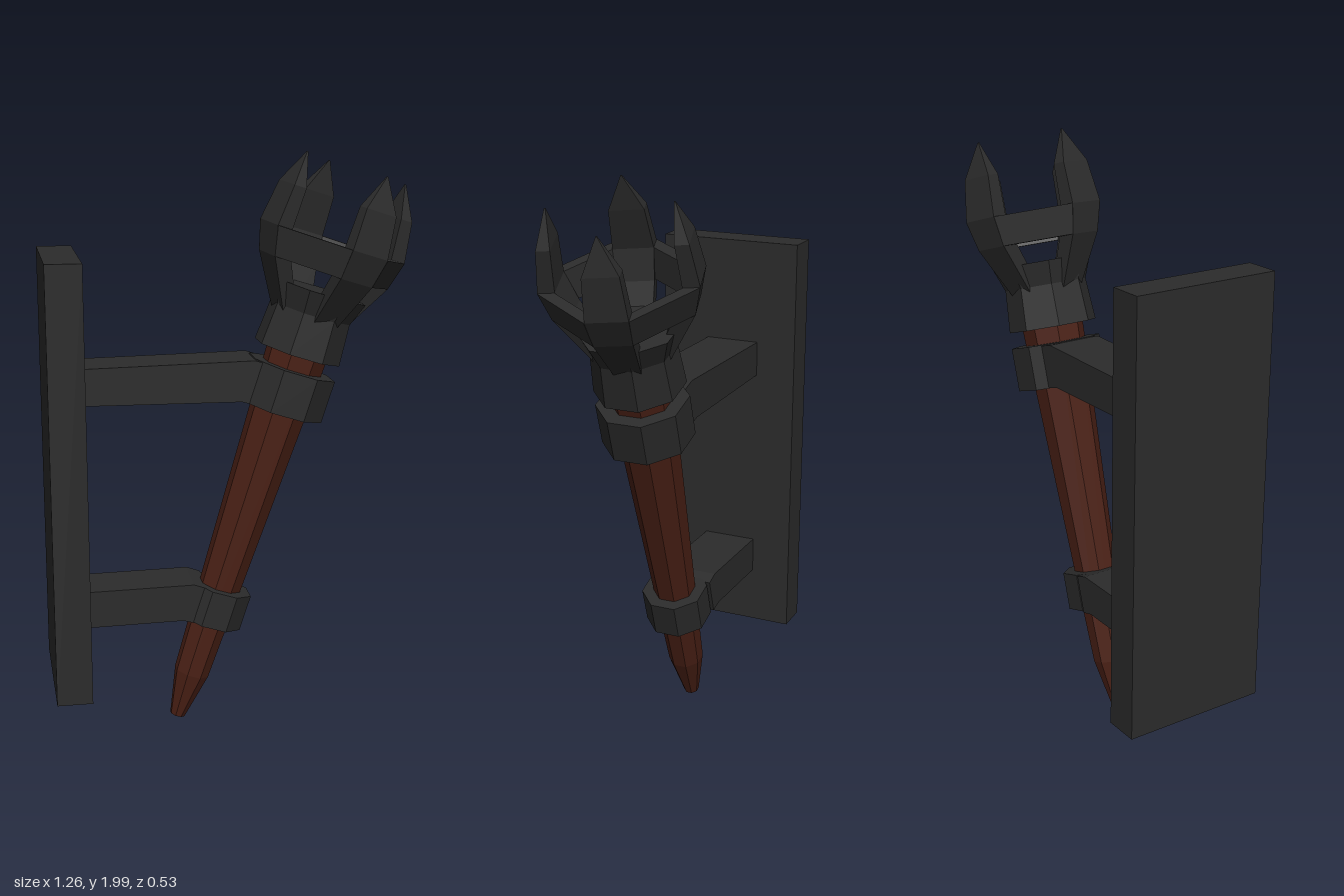
import * as THREE from 'three';

const metal = new THREE.MeshStandardMaterial({ color: 0x2b2b2b, flatShading: true });
const wood = new THREE.MeshStandardMaterial({ color: 0x4a2015, flatShading: true });

function add(parent, name, geometry, material = metal) {
  const mesh = new THREE.Mesh(geometry, material);
  mesh.name = name;
  parent.add(mesh);
  return mesh;
}

// Eight-sided section between heights y0 and y1; radii measured to the flats
function octagon(y0, y1, r0, r1, openEnded = false) {
  const k = 1 / Math.cos(Math.PI / 8);
  return new THREE.CylinderGeometry(r1 * k, r0 * k, y1 - y0, 8, 1, openEnded)
    .rotateY(Math.PI / 8)
    .translate(0, (y0 + y1) / 2, 0);
}

// Four-cornered bar lofted upwards; each row is [y, outer x, inner x, half width]
function loft(rows) {
  const points = [];
  const index = [];
  for (const [y, out, inn, w] of rows) {
    points.push(out, y, -w, out, y, w, inn, y, w, inn, y, -w);
  }
  for (let r = 0; r < rows.length - 1; r++) {
    for (let c = 0; c < 4; c++) {
      const a = r * 4 + c;
      const b = r * 4 + ((c + 1) % 4);
      index.push(a, a + 4, b, b, a + 4, b + 4);
    }
  }
  const t = (rows.length - 1) * 4;
  index.push(0, 1, 2, 0, 2, 3, t, t + 2, t + 1, t, t + 3, t + 2);
  const geometry = new THREE.BufferGeometry();
  geometry.setAttribute('position', new THREE.Float32BufferAttribute(points, 3));
  geometry.setIndex(index);
  geometry.computeVertexNormals();
  return geometry;
}

// Bracket arm from the plate to a slanted clamp, given as a side outline
function arm(outline) {
  const shape = new THREE.Shape(outline.map(([x, y]) => new THREE.Vector2(x, y)));
  return new THREE.ExtrudeGeometry(shape, { depth: 0.195, bevelEnabled: false })
    .translate(0, 0, -0.113);
}

export function createModel() {
  const model = new THREE.Group();
  model.name = 'wallTorch';

  // Wall plate and the two arms
  add(model, 'wallPlate', new THREE.BoxGeometry(0.12, 1.48, 0.515)).position.set(-0.57, 0.93, 0);
  add(model, 'upperArm', arm([[-0.52, 1.175], [0.03, 1.17], [0.1, 1.15], [0.14, 1.29], [0.075, 1.31], [-0.52, 1.3]]));
  add(model, 'lowerArm', arm([[-0.52, 0.393], [-0.177, 0.398], [-0.13, 0.385], [-0.09, 0.51], [-0.137, 0.527], [-0.52, 0.522]]));

  // Leaning torch, built upright along its own axis
  const torch = new THREE.Group();
  torch.name = 'torch';
  torch.position.set(-0.19, 0.012, 0);
  torch.rotation.z = -Math.PI / 10;
  model.add(torch);

  add(torch, 'shaftTip', octagon(0, 0.17, 0.025, 0.058), wood);
  add(torch, 'shaft', octagon(0.17, 1.4, 0.058, 0.1), wood);
  add(torch, 'lowerClamp', octagon(0.375, 0.505, 0.108, 0.108));
  add(torch, 'upperClamp', octagon(1.17, 1.32, 0.145, 0.145));
  add(torch, 'collar', octagon(1.375, 1.52, 0.142, 0.132));
  add(torch, 'cup', octagon(1.52, 1.6, 0.132, 0.16));

  // Four pointed prongs joined by straight ring bars
  const prong = loft([
    [1.5, 0.125, 0.07, 0.045],
    [1.67, 0.228, 0.165, 0.062],
    [1.77, 0.256, 0.2, 0.068],
    [1.91, 0.238, 0.192, 0.058],
    [2.025, 0.202, 0.198, 0.002],
  ]);
  const bar = loft([
    [1.67, 0.205, 0.168, 0.118],
    [1.77, 0.23, 0.19, 0.132],
  ]);
  for (let i = 0; i < 4; i++) {
    const angle = -Math.PI / 12 + (i * Math.PI) / 2;
    add(torch, 'prong', prong).rotation.y = -angle;
    add(torch, 'ringBar', bar).rotation.y = -angle - Math.PI / 4;
  }
  return model;
}
